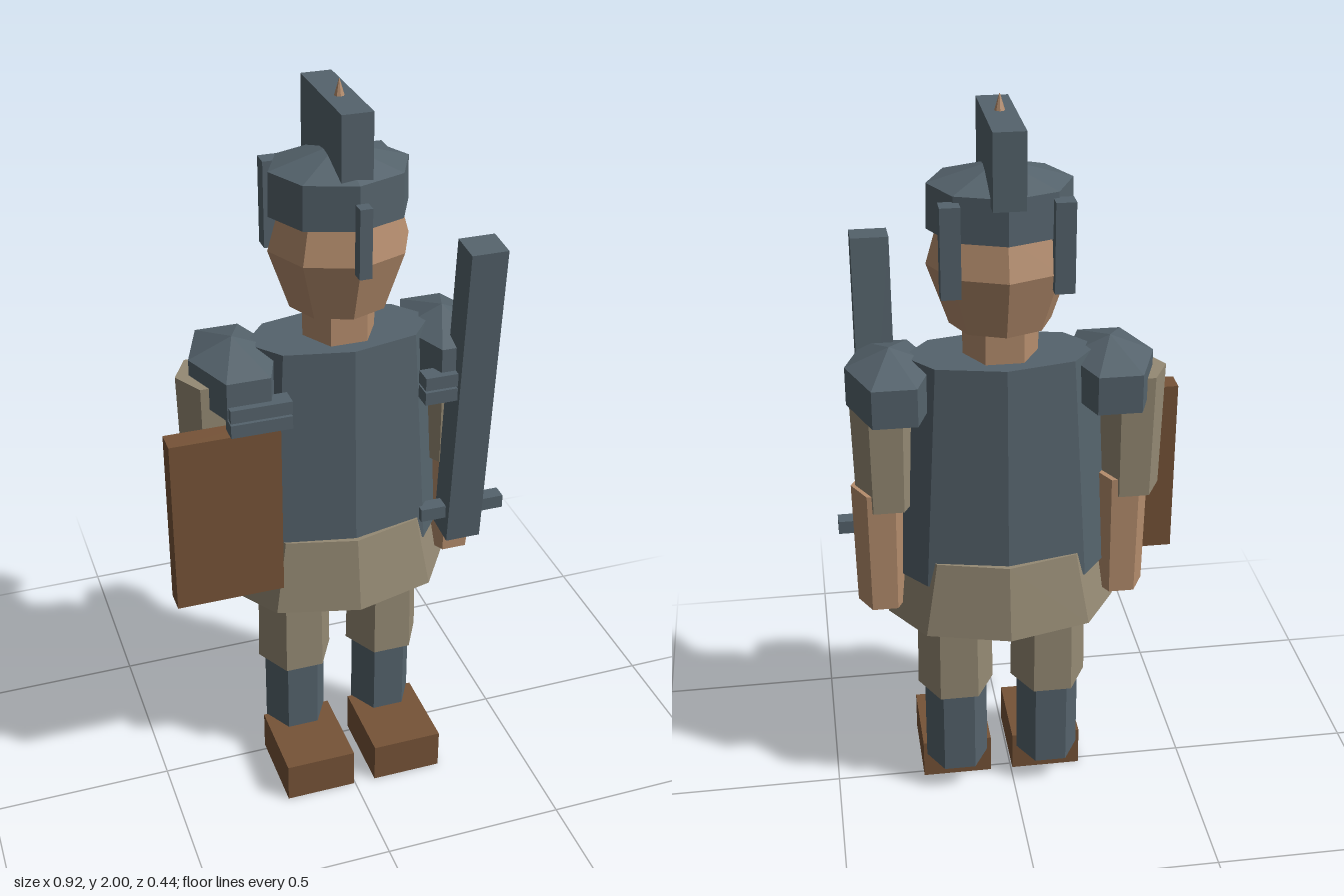
import * as THREE from 'three';

const CX = 0.027, CZ = -0.022; // body axis

export function createModel() {
  const model = new THREE.Group();
  const material = (name, color) => {
    const m = new THREE.MeshStandardMaterial({ color, flatShading: true });
    m.name = name;
    return m;
  };
  const steel = material('steel', 0x55636c);
  const cloth = material('cloth', 0x958a74);
  const skin = material('skin', 0xb58d6d);
  const leather = material('leather', 0x765337);

  const add = (name, geometry, mat, x, y, z) => {
    const mesh = new THREE.Mesh(geometry, mat);
    mesh.name = name;
    mesh.position.set(x, y, z);
    model.add(mesh);
    return mesh;
  };
  const box = (name, mat, size, pos) => add(name, new THREE.BoxGeometry(...size), mat, ...pos);

  // Faceted solid from [radius, y] rings, closed on the axis and squashed in z.
  const faceted = (name, mat, sides, rings, x = CX, depth = 1) => {
    const points = [[0, rings[0][1]], ...rings, [0, rings[rings.length - 1][1]]]
      .map(([r, y]) => new THREE.Vector2(r, y));
    const geometry = new THREE.LatheGeometry(points, sides, sides === 6 ? Math.PI / 2 : 0);
    geometry.scale(1, 1, depth);
    return add(name, geometry, mat, x, 0, CZ);
  };

  // Head and neck
  faceted('neck', skin, 6, [[0.097, 1.3], [0.097, 1.45]]);
  faceted('head', skin, 8, [[0.06, 1.405], [0.13, 1.425], [0.185, 1.585], [0.155, 1.69]], CX, 0.91);

  // Helmet with crest, nose guard and neck guards
  faceted('helmet', steel, 8, [[0.182, 1.675], [0.18, 1.79], [0.01, 1.84]], CX, 0.86);
  box('crest', steel, [0.08, 0.19, 0.312], [0.028, 1.865, -0.046]);
  faceted('crestSpike', skin, 8, [[0.022, 1.93], [0.001, 2.0]]);
  box('noseGuard', steel, [0.032, 0.18, 0.034], [0.028, 1.66, 0.16]);

  // Torso and flared skirt
  faceted('breastplate', steel, 8, [[0.298, 0.72], [0.25, 1.34]], CX, 0.52);
  faceted('skirt', cloth, 8, [[0.31, 0.583], [0.262, 0.79]], CX, 0.633);

  for (const side of [-1, 1]) {
    const at = (offset) => CX + side * offset;
    box('neckGuard', steel, [0.05, 0.23, 0.045], [at(0.138), 1.66, -0.147]);

    // Shoulder armour
    faceted('shoulderPlate', steel, 6, [[0.114, 1.215], [0.114, 1.318], [0.001, 1.367]], at(0.283), 1.55);
    for (const y of [1.235, 1.193]) {
      box('shoulderStrap', steel, [0.16, 0.036, 0.05], [at(0.257), y, 0.125]);
    }

    // Arms
    const upperX = side < 0 ? -0.318 : 0.33;
    faceted('upperArm', cloth, 6, [[0.08, 0.93], [0.088, 1.275]], upperX, 1.08);
    faceted('forearm', skin, 6, [[0.068, 0.63], [0.074, 0.98]], at(0.322), 1.1);

    // Legs
    faceted('thigh', cloth, 6, [[0.105, 0.34], [0.1, 0.68]], at(0.13), 1.07);
    faceted('shin', steel, 6, [[0.087, 0.08], [0.087, 0.38]], at(0.13), 1.02);
    box('shoe', leather, [0.195, 0.115, 0.238], [at(0.129), 0.0575, 0.1]);
  }

  // Shield in the right hand
  box('shield', leather, [0.29, 0.493, 0.062], [-0.32, 0.919, 0.097]);

  // Sword held upright in the left hand, leaning forward
  const blade = box('swordBlade', steel, [0.097, 0.89, 0.09], [0.34, 1.163, 0.115]);
  blade.rotation.x = 0.09;
  box('swordGuard', steel, [0.237, 0.037, 0.042], [0.34, 0.803, 0.086]);

  return model;
}
